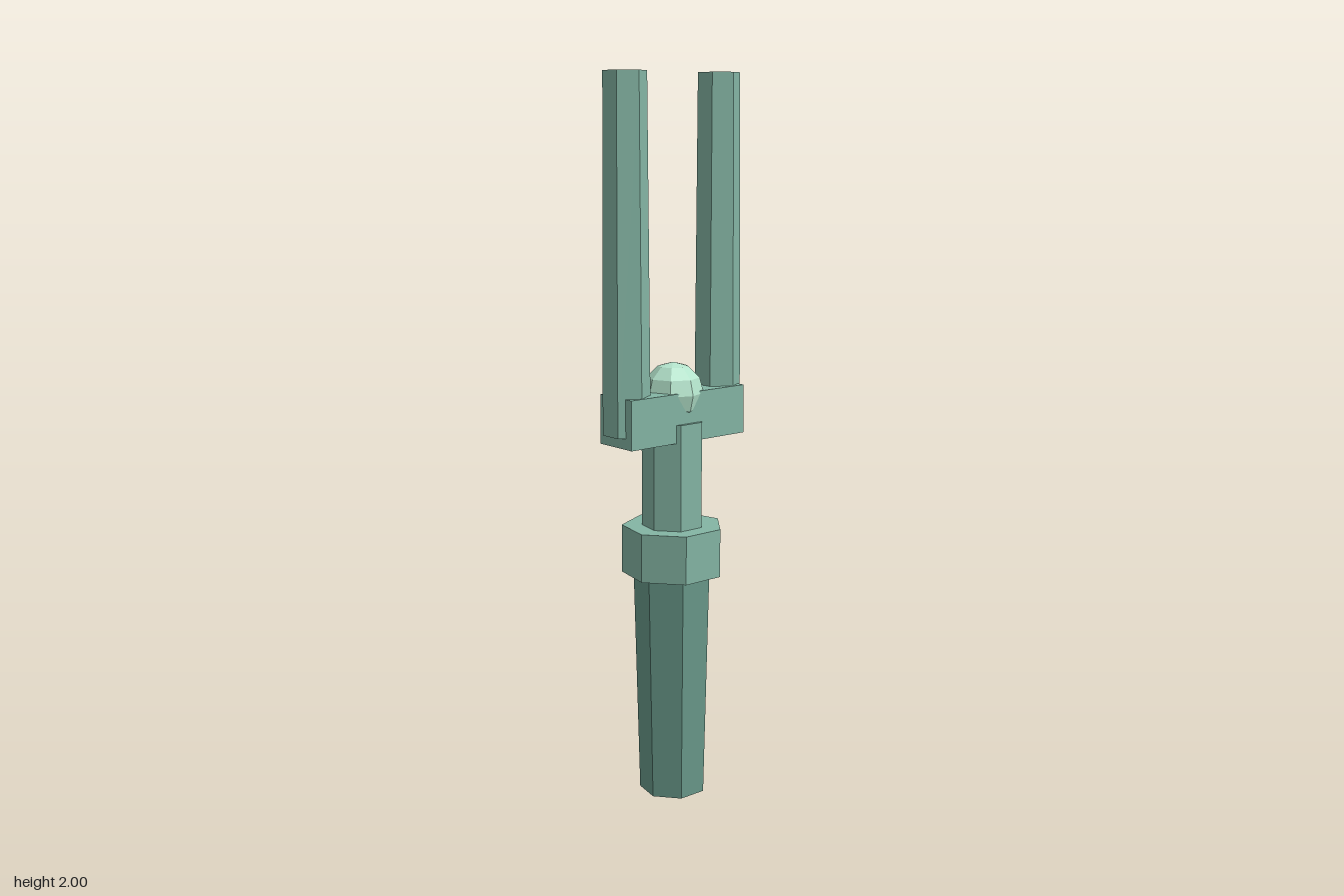
import * as THREE from 'three';

export function createModel() {
  const group = new THREE.Group();
  group.name = 'tuningFork';
  const mat = (color) => new THREE.MeshStandardMaterial({ color, flatShading: true });
  const body = mat(0x84b5a4);
  const grip = mat(0x69998a);
  const gem = mat(0xb4e4cc);
  const Z = 0.005; // shared depth of the central axis

  const add = (name, geometry, material, x, y, z = Z) => {
    const mesh = new THREE.Mesh(geometry, material);
    mesh.name = name;
    mesh.position.set(x, y, z);
    group.add(mesh);
    return mesh;
  };

  // Upright faceted column between two heights
  const column = (name, rTop, rBottom, y0, y1, sides, material, x = 0) =>
    add(name, new THREE.CylinderGeometry(rTop, rBottom, y1 - y0, sides), material, x, (y0 + y1) / 2);

  // Seven-sided handle, collar and neck, flat side to the front
  column('handle', 0.11, 0.094, 0, 0.65, 7, grip).rotation.y = Math.PI;
  column('collar', 0.142, 0.142, 0.64, 0.775, 7, body).rotation.y = Math.PI;
  column('neck', 0.086, 0.086, 0.7, 1.07, 7, body).rotation.y = Math.PI;

  // Crossbar holding the prongs
  add('crossbar', new THREE.BoxGeometry(0.4, 0.135, 0.133), body, 0, 1.0875, 0.006);

  // Six-sided tapering prongs
  for (const [name, side] of [['leftProng', 1], ['rightProng', -1]]) {
    column(name, 0.058, 0.065, 1.05, 2, 6, body, side * 0.162);
  }

  // Faceted ball resting in the crossbar
  add('ball', new THREE.SphereGeometry(0.084, 8, 6), gem, 0, 1.147);

  return group;
}
